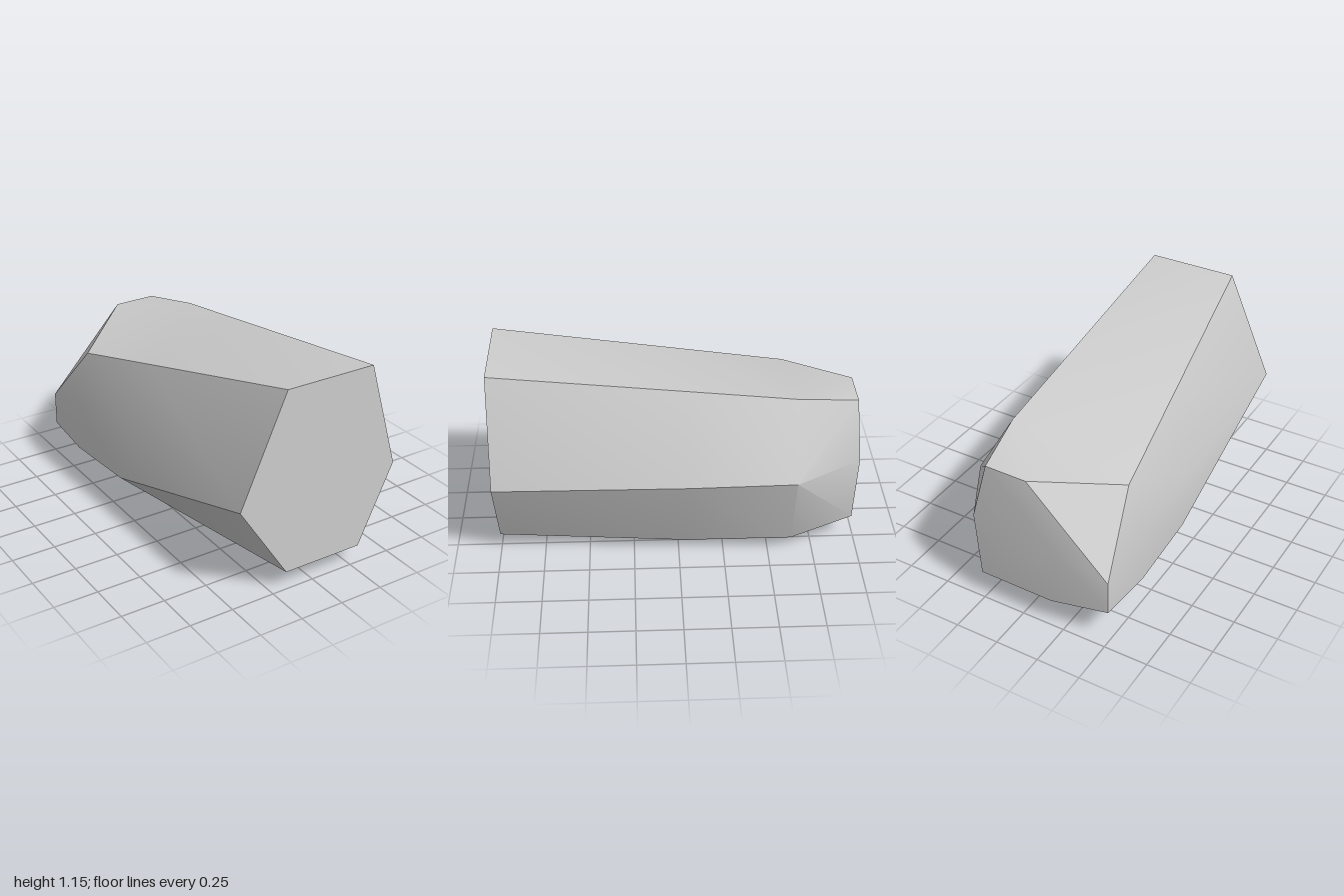
import * as THREE from 'three';
import { toCreasedNormals } from 'three/addons/utils/BufferGeometryUtils.js';

// Cross-sections from front to back, each running clockwise as seen from the
// front: top right side, top left side, left, bottom left, bottom, lower right, right.
const SECTIONS = [
  [[-0.195, 1.15, 1], [0.325, 1.15, 1], [0.5, 0.55, 1], [0.295, 0.105, 1],
    [-0.17, 0.105, 1], [-0.17, 0.105, 1], [-0.46, 0.55, 1]],
  [[-0.346, 0.912, -0.05], [0.286, 1.015, -0.05], [0.511, 0.55, -0.05], [0.33, 0.06, -0.05],
    [-0.172, 0.04, -0.05], [-0.5, 0.205, -0.15], [-0.495, 0.508, -0.05]],
  [[-0.43, 0.78, -0.63], [0.265, 0.94, -0.63], [0.5, 0.55, -0.63], [0.355, 0.08, -0.63],
    [-0.175, 0, -0.63], [-0.515, 0.185, -0.63], [-0.515, 0.485, -0.63]],
  [[-0.04, 0.882, -0.975], [0.2, 0.885, -0.975], [0.285, 0.55, -0.995], [0.27, 0.155, -0.98],
    [-0.17, 0.155, -0.985], [-0.5, 0.205, -0.96], [-0.5, 0.4, -0.96]],
];
const BACK_CENTRE = new THREE.Vector3(-0.22, 0.5, -1);

function loftedStone() {
  const rings = SECTIONS.map(s => s.map(p => new THREE.Vector3(...p)));
  const n = rings[0].length;
  const positions = [];
  const normalOf = (a, b, c) => b.clone().sub(a).cross(c.clone().sub(a));
  const triangle = (a, b, c) => {
    if (normalOf(a, b, c).length() < 1e-6) return;
    for (const p of [a, b, c]) positions.push(p.x, p.y, p.z);
  };

  // Sides: split each quad along its outward diagonal
  for (let k = 0; k < rings.length - 1; k++) {
    for (let i = 0; i < n; i++) {
      const j = (i + 1) % n;
      const a = rings[k][i], b = rings[k][j], c = rings[k + 1][i], d = rings[k + 1][j];
      if (normalOf(a, b, c).dot(d.clone().sub(a)) < 0) {
        triangle(a, b, c);
        triangle(b, d, c);
      } else {
        triangle(a, b, d);
        triangle(a, d, c);
      }
    }
  }

  // Flat front end and slightly domed back end
  const front = rings[0], back = rings[rings.length - 1];
  for (let i = 1; i < n - 1; i++) triangle(front[0], front[i + 1], front[i]);
  for (let i = 0; i < n; i++) triangle(BACK_CENTRE, back[i], back[(i + 1) % n]);

  const geometry = new THREE.BufferGeometry();
  geometry.setAttribute('position', new THREE.Float32BufferAttribute(positions, 3));
  return toCreasedNormals(geometry, THREE.MathUtils.degToRad(30));
}

export function createModel() {
  const group = new THREE.Group();
  group.name = 'stoneColumn';
  const stone = new THREE.MeshStandardMaterial({ color: 0xcccccc });
  stone.name = 'paleGreyStone';
  const mesh = new THREE.Mesh(loftedStone(), stone);
  mesh.name = 'stoneBody';
  group.add(mesh);
  return group;
}
